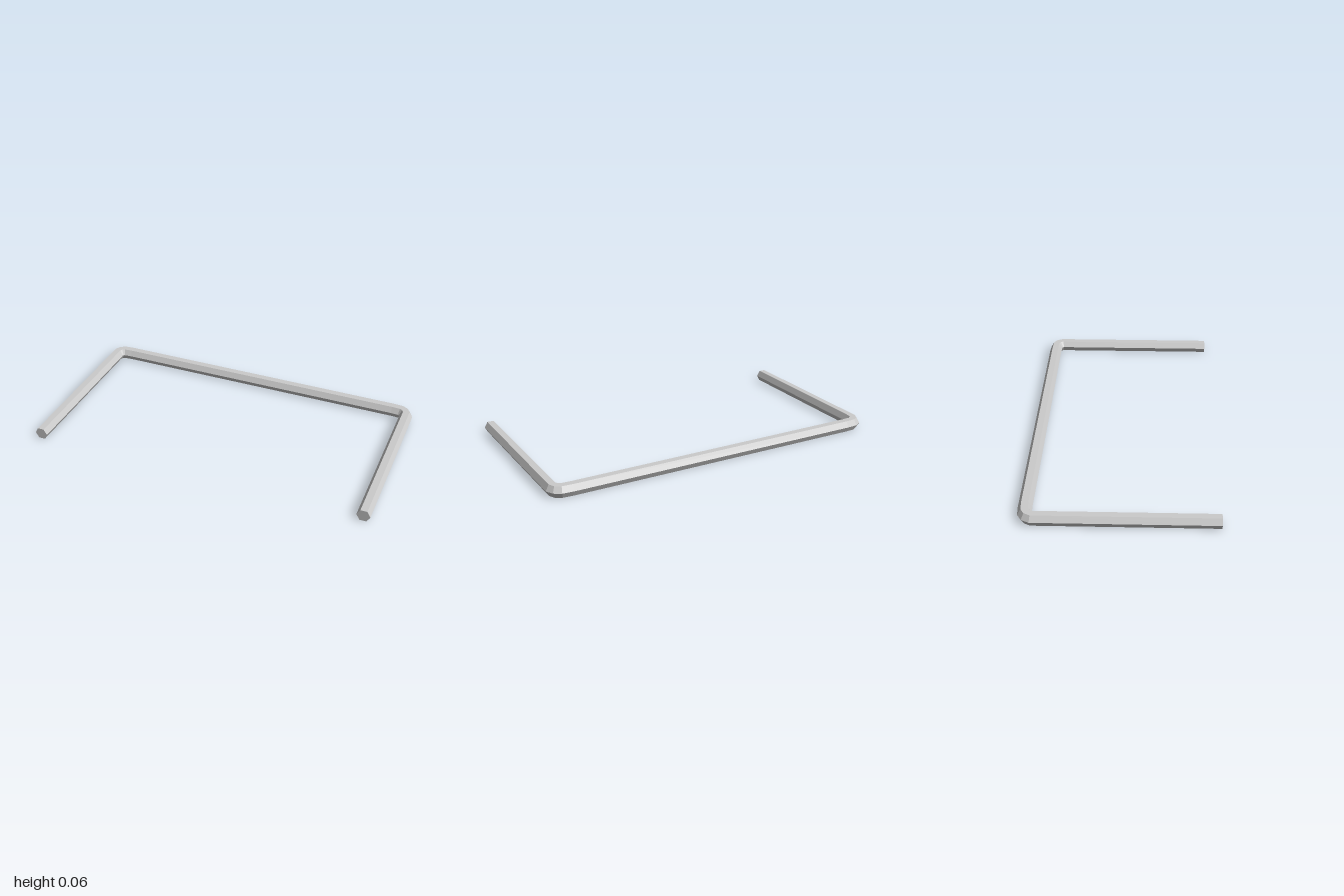
import * as THREE from 'three';

const R = 0.0375; // hexagon circumradius
const SIDES = 6;

// Centreline of one half of the bar as [x, z], from the open end through the bend
const half = [
  [-0.9625, 0.52],
  [-0.9625, -0.441],
  [-0.95, -0.465],
  [-0.926, -0.479],
  [-0.872, -0.4825],
];

// Sweep a hexagon along a flat path, with mitred rings and closed ends
function sweepHexagon(path) {
  const pts = path.map(([x, z]) => new THREE.Vector2(x, z));
  const last = pts.length - 1;
  const dir = (i) => pts[i + 1].clone().sub(pts[i]).normalize();

  const rings = pts.map((p, i) => {
    const before = dir(Math.max(i - 1, 0));
    const after = dir(Math.min(i, last - 1));
    const t = before.clone().add(after).normalize();
    const miter = 1 / t.dot(after);
    return Array.from({ length: SIDES }, (_, k) => {
      const a = (k / SIDES) * Math.PI * 2;
      const out = R * Math.cos(a) * miter;
      const y = R * (Math.sin(a) + Math.sin(Math.PI / 3));
      return [p.x + t.y * out, y, p.y - t.x * out];
    });
  });

  const pos = [];
  const tri = (a, b, c) => pos.push(...a, ...b, ...c);
  for (let i = 0; i < last; i++) {
    for (let k = 0; k < SIDES; k++) {
      const n = (k + 1) % SIDES;
      tri(rings[i][k], rings[i][n], rings[i + 1][n]);
      tri(rings[i][k], rings[i + 1][n], rings[i + 1][k]);
    }
  }
  // End caps
  for (let k = 1; k < SIDES - 1; k++) {
    tri(rings[0][0], rings[0][k + 1], rings[0][k]);
    tri(rings[last][0], rings[last][k], rings[last][k + 1]);
  }

  const geometry = new THREE.BufferGeometry();
  geometry.setAttribute('position', new THREE.Float32BufferAttribute(pos, 3));
  geometry.computeVertexNormals();
  return geometry;
}

export function createModel() {
  const group = new THREE.Group();
  group.name = 'bentBar';

  // U-shaped hexagonal bar: two arms joined by a crossbar
  const path = [...half, ...half.map(([x, z]) => [-x, z]).reverse()];
  const bar = new THREE.Mesh(
    sweepHexagon(path),
    new THREE.MeshStandardMaterial({ color: 0xcccccc, flatShading: true })
  );
  bar.name = 'hexagonalBar';
  group.add(bar);
  return group;
}
